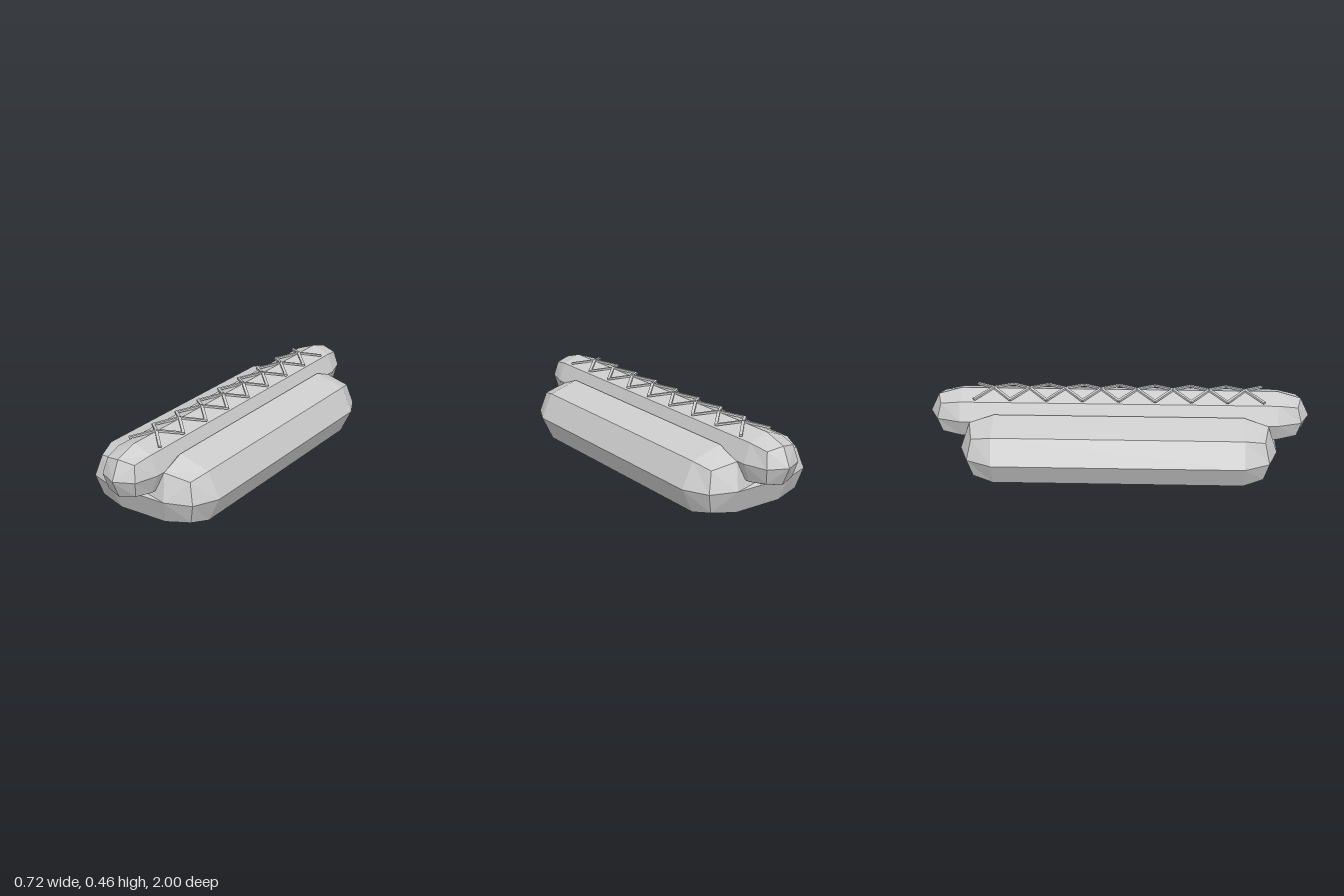
import * as THREE from 'three';

const grey = new THREE.MeshStandardMaterial({ color: 0xcccccc, flatShading: true });
grey.name = 'plain grey';

// Closed body from two rings (body edge, rounded shoulder) mirrored in z, with cap triangles.
// Rings run counter-clockwise seen from the front; cap lists indices into [shoulder..., ...tips].
function capsuleBody(name, edge, shoulder, tips, cap) {
  const pos = [];
  const n = edge.length;
  const back = ([x, y, z]) => [x, y, -z];
  const tri = (a, b, c) => pos.push(...a, ...b, ...c);
  const rings = [shoulder.map(back), edge.map(back), edge, shoulder];
  for (let r = 0; r < 3; r++) {
    for (let i = 0; i < n; i++) {
      const j = (i + 1) % n;
      tri(rings[r][i], rings[r][j], rings[r + 1][j]);
      tri(rings[r][i], rings[r + 1][j], rings[r + 1][i]);
    }
  }
  const pts = [...shoulder, ...tips];
  for (const [a, b, c] of cap) {
    tri(pts[a], pts[b], pts[c]);
    tri(back(pts[a]), back(pts[c]), back(pts[b]));
  }
  const geo = new THREE.BufferGeometry();
  geo.setAttribute('position', new THREE.Float32BufferAttribute(pos, 3));
  geo.computeVertexNormals();
  const mesh = new THREE.Mesh(geo, grey);
  mesh.name = name;
  return mesh;
}

// Two-lobed bun with a groove along the top
function makeBun() {
  const edge = [
    [0.362, 0.182], [0.3, 0.314], [0.135, 0.363], [0, 0.2], [-0.135, 0.363], [-0.3, 0.314],
    [-0.362, 0.182], [-0.3, 0.052], [-0.135, 0], [0.135, 0], [0.3, 0.052],
  ].map(([x, y]) => [x, y, 0.65]);
  const shoulder = [
    [0.3, 0.182, 0.78], [0.27, 0.29, 0.755], [0.135, 0.314, 0.78], [0, 0.19, 0.79],
    [-0.135, 0.314, 0.78], [-0.27, 0.29, 0.755], [-0.3, 0.182, 0.78], [-0.27, 0.075, 0.755],
    [-0.135, 0.052, 0.78], [0.135, 0.052, 0.78], [0.27, 0.075, 0.755],
  ];
  const tips = [[0.165, 0.182, 0.828], [-0.165, 0.182, 0.828]];
  const R = 11, L = 12;
  const cap = [
    [R, 0, 1], [R, 1, 2], [R, 2, 3], [R, 3, L], [L, 3, 4], [L, 4, 5], [L, 5, 6],
    [L, 6, 7], [L, 7, 8], [L, 8, 9], [L, 9, R], [R, 9, 10], [R, 10, 0],
  ];
  return capsuleBody('bun', edge, shoulder, tips, cap);
}

// Eight-sided sausage with rounded ends
function makeSausage() {
  const cy = 0.317;
  const ring = (straight, diagonal, zs, zd) => Array.from({ length: 8 }, (_, i) => {
    const a = (i * Math.PI) / 4;
    const r = i % 2 ? diagonal : straight;
    return [r * Math.cos(a), cy + r * Math.sin(a), i % 2 ? zd : zs];
  });
  const cap = Array.from({ length: 8 }, (_, i) => [8, i, (i + 1) % 8]);
  return capsuleBody('sausage', ring(0.135, 0.139, 0.83, 0.83),
    ring(0.098, 0.115, 0.953, 0.932), [[0, cy, 1]], cap);
}

// Two crossing zigzag strands that follow the ridge of the sausage
function makeSauce() {
  const group = new THREE.Group();
  group.name = 'sauce';
  const step = 0.1885, crossings = 8;
  const bar = (a, b) => {
    const mesh = new THREE.Mesh(new THREE.BoxGeometry(0.015, 0.01, a.distanceTo(b) + 0.004), grey);
    mesh.position.copy(a).lerp(b, 0.5);
    mesh.lookAt(b);
    mesh.name = 'sauceStrand';
    group.add(mesh);
  };
  for (let i = 0; i < crossings; i++) {
    const z = (i - (crossings - 1) / 2) * step;
    const middle = new THREE.Vector3(0, 0.456, z);
    for (const sx of [-1, 1]) {
      for (const sz of [-1, 1]) {
        bar(middle, new THREE.Vector3(sx * 0.093, 0.431, z + (sz * step) / 2));
      }
    }
  }
  return group;
}

export function createModel() {
  const model = new THREE.Group();
  model.name = 'hotDog';
  model.add(makeBun(), makeSausage(), makeSauce());
  return model;
}
